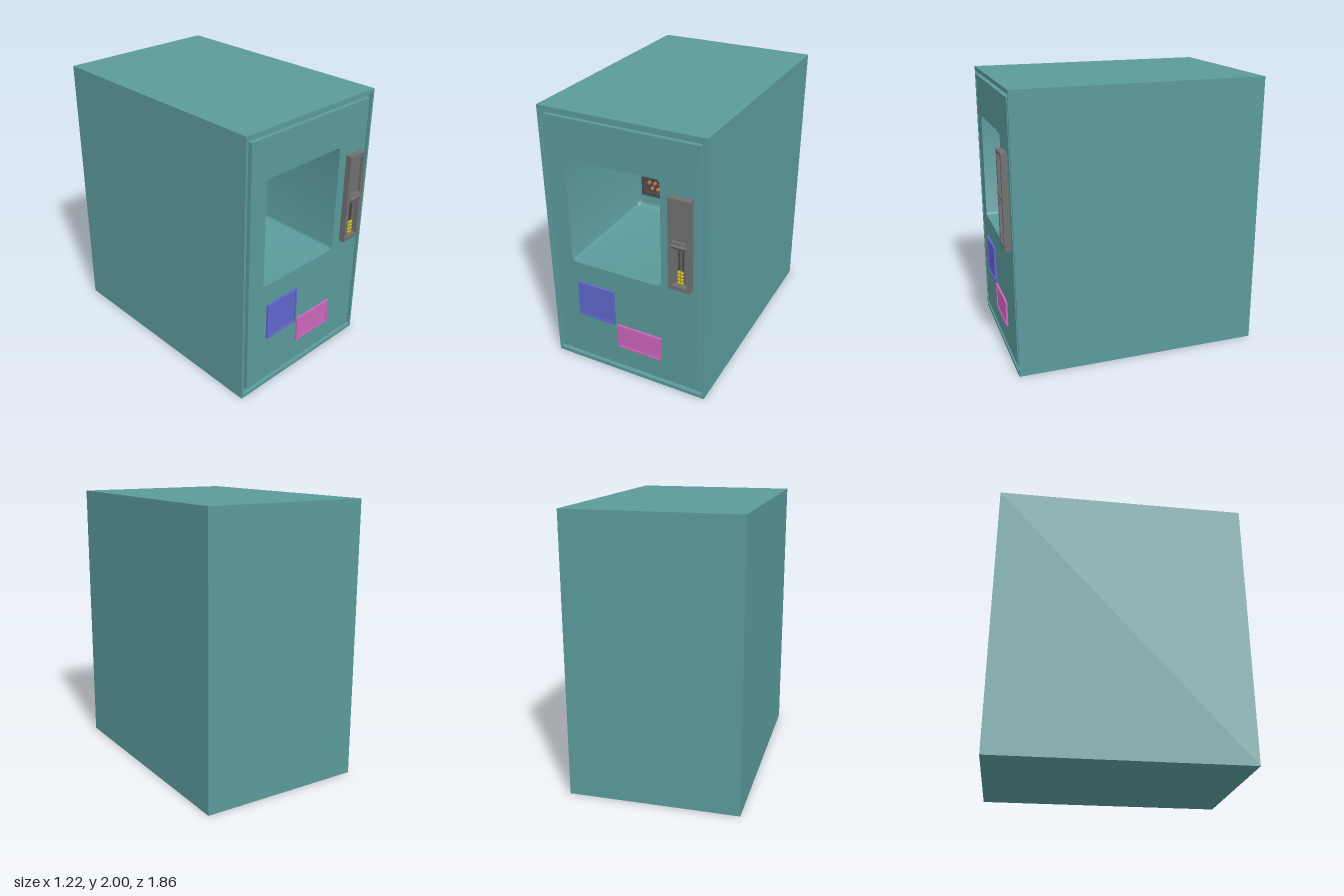
import * as THREE from 'three';
import { toCreasedNormals } from 'three/addons/utils/BufferGeometryUtils.js';

const TEAL = 0x5b9a9b, GREY = 0x707070, DARK = 0x4d4d4d;
const FRONT = 0.875, BACK = -0.93, CAVITY_BACK = -0.06;

// Corner points, counter-clockwise from the front; r rounds the corners
function rect(x0, x1, y0, y1, r = 0, n = 5) {
  if (!r) return [[x0, y0], [x1, y0], [x1, y1], [x0, y1]].map(p => new THREE.Vector2(...p));
  const pts = [];
  [[x1 - r, y1 - r], [x0 + r, y1 - r], [x0 + r, y0 + r], [x1 - r, y0 + r]].forEach(([cx, cy], q) => {
    for (let i = 0; i <= n; i++) {
      const a = (q + i / n) * Math.PI / 2;
      pts.push(new THREE.Vector2(cx + r * Math.cos(a), cy + r * Math.sin(a)));
    }
  });
  return pts;
}

// Skin through a list of { pts, z } sections
function loft(sections, capStart, capEnd) {
  const n = sections[0].pts.length, pos = [], idx = [];
  for (const { pts, z } of sections) for (const p of pts) pos.push(p.x, p.y, z);
  for (let i = 0; i < sections.length - 1; i++) {
    for (let j = 0; j < n; j++) {
      const a = i * n + j, b = i * n + (j + 1) % n;
      idx.push(a, b, b + n, a, b + n, a + n);
    }
  }
  const last = (sections.length - 1) * n;
  for (let j = 1; j < n - 1; j++) {
    if (capStart) idx.push(0, j + 1, j);
    if (capEnd) idx.push(last, last + j, last + j + 1);
  }
  const g = new THREE.BufferGeometry();
  g.setAttribute('position', new THREE.Float32BufferAttribute(pos, 3));
  g.setIndex(idx);
  return toCreasedNormals(g, 0.6);
}

function add(parent, name, geometry, color, x = 0, y = 0, z = 0) {
  const mesh = new THREE.Mesh(geometry, new THREE.MeshStandardMaterial({ color }));
  mesh.name = name;
  mesh.position.set(x, y, z);
  parent.add(mesh);
  return mesh;
}

function box(parent, name, color, x0, x1, y0, y1, z0, z1) {
  return add(parent, name, new THREE.BoxGeometry(x1 - x0, y1 - y0, z1 - z0), color,
    (x0 + x1) / 2, (y0 + y1) / 2, (z0 + z1) / 2);
}

// Plate with openings
function plate(parent, name, color, outline, holes, z0, z1) {
  const shape = new THREE.Shape(outline);
  shape.holes = holes.map(h => new THREE.Path(h));
  return add(parent, name, new THREE.ExtrudeGeometry(shape, { depth: z1 - z0, bevelEnabled: false }), color, 0, 0, z0);
}

function group(parent, name) {
  const g = new THREE.Group();
  g.name = name;
  parent.add(g);
  return g;
}

// Framed panel with a slightly sunken face
function framedPanel(parent, name, color, x0, x1, y0, y1) {
  const g = group(parent, name), m = 0.013;
  plate(g, name + 'Frame', color, rect(x0, x1, y0, y1),
    [rect(x0 + m, x1 - m, y0 + m, y1 - m)], FRONT, 0.89);
  box(g, name + 'Face', color, x0 + m, x1 - m, y0 + m, y1 - m, FRONT, 0.883);
}

export function createModel() {
  const model = new THREE.Group();
  model.name = 'dispenserCabinet';

  // Cabinet with a groove around the front panel
  const inset = m => rect(-0.61 + m, 0.61 - m, m, 2 - m);
  const groove = [0.015, 0.047].map((m, i) =>
    rect(-0.61 + m, 0.61 - m, m + 0.013, 2 - m - [0.013, 0.008][i]));
  add(model, 'cabinet', loft([
    { pts: inset(0), z: BACK }, { pts: inset(0), z: FRONT },
    { pts: groove[0], z: FRONT }, { pts: groove[0], z: FRONT - 0.03 },
    { pts: groove[1], z: FRONT - 0.03 }, { pts: groove[1], z: FRONT },
  ], true, false), TEAL);

  // Front panel around the compartment opening
  const opening = rect(-0.425, 0.285, 0.86, 1.66, 0.03);
  const panel = new THREE.Shape(groove[1]);
  panel.holes.push(new THREE.Path(opening));
  add(model, 'frontPanel', new THREE.ShapeGeometry(panel), TEAL, 0, 0, FRONT);

  // Deep compartment, rounded into its back wall
  const sections = [{ pts: opening, z: FRONT }];
  for (let i = 0; i <= 5; i++) {
    const a = i / 5 * Math.PI / 2, k = 1 - Math.cos(a);
    sections.push({
      pts: rect(-0.425 + 0.015 * k, 0.285 - 0.015 * k, 0.86 + 0.04 * k, 1.66 - 0.035 * k, 0.03),
      z: CAVITY_BACK + 0.04 * (1 - Math.sin(a)),
    });
  }
  add(model, 'compartment', loft(sections, false, true), TEAL);

  // Pin socket on the compartment's back wall
  const socket = group(model, 'pinSocket');
  const dShape = [[-0.32, 1.012], [-0.09, 1.012], [-0.078, 1.022], [-0.068, 1.115],
    [-0.08, 1.13], [-0.33, 1.13], [-0.342, 1.115], [-0.332, 1.022]].map(p => new THREE.Vector2(...p));
  plate(socket, 'socketHousing', DARK, rect(-0.37, -0.04, 0.98, 1.155), [dShape], CAVITY_BACK, -0.02);
  plate(socket, 'socketFloor', DARK, dShape, [], CAVITY_BACK, -0.04);
  for (let row = 0; row < 2; row++) {
    for (let i = 0; i < 5 - row; i++) {
      const pin = add(socket, 'pin', new THREE.CylinderGeometry(0.013, 0.013, 0.018, 16), 0xd9793f,
        -0.308 + 0.051 * (i + row / 2), 1.094 - 0.046 * row, -0.032);
      pin.rotation.x = Math.PI / 2;
    }
  }

  // Slot unit beside the compartment
  const unit = group(model, 'slotUnit');
  plate(unit, 'slotHousing', GREY, rect(0.36, 0.52, 0.905, 1.58),
    [rect(0.386, 0.494, 1.27, 1.555), rect(0.386, 0.494, 0.935, 1.22)], FRONT, 0.92);
  box(unit, 'upperWindow', GREY, 0.386, 0.494, 1.27, 1.555, FRONT, 0.9);
  box(unit, 'lowerWindow', GREY, 0.386, 0.494, 0.935, 1.22, FRONT, 0.88);
  box(unit, 'sliderStop', DARK, 0.386, 0.494, 1.208, 1.22, 0.88, 0.905);
  const handle = add(unit, 'handle', new THREE.CylinderGeometry(0.018, 0.018, 0.106, 6).toNonIndexed(), GREY, 0.44, 1.24, 0.912);
  handle.rotation.z = Math.PI / 2;
  handle.geometry.computeVertexNormals();
  for (const s of [-1, 1]) {
    const x = 0.44 + s * 0.014;
    box(unit, 'rail', DARK, x - 0.005, x + 0.005, 0.945, 1.21, 0.88, 0.895);
    // Beads stacked on the rails
    for (let i = 0; i < 4; i++) {
      add(unit, 'bead', new THREE.SphereGeometry(0.0135, 12, 8), 0xb5a414, 0.44 + s * 0.011, 0.958 + i * 0.026, 0.898);
    }
  }

  // Lower panels
  framedPanel(model, 'bluePanel', 0x6066cc, -0.385, -0.09, 0.42, 0.7);
  framedPanel(model, 'pinkPanel', 0xcc66bb, -0.07, 0.28, 0.23, 0.425);

  return model;
}
